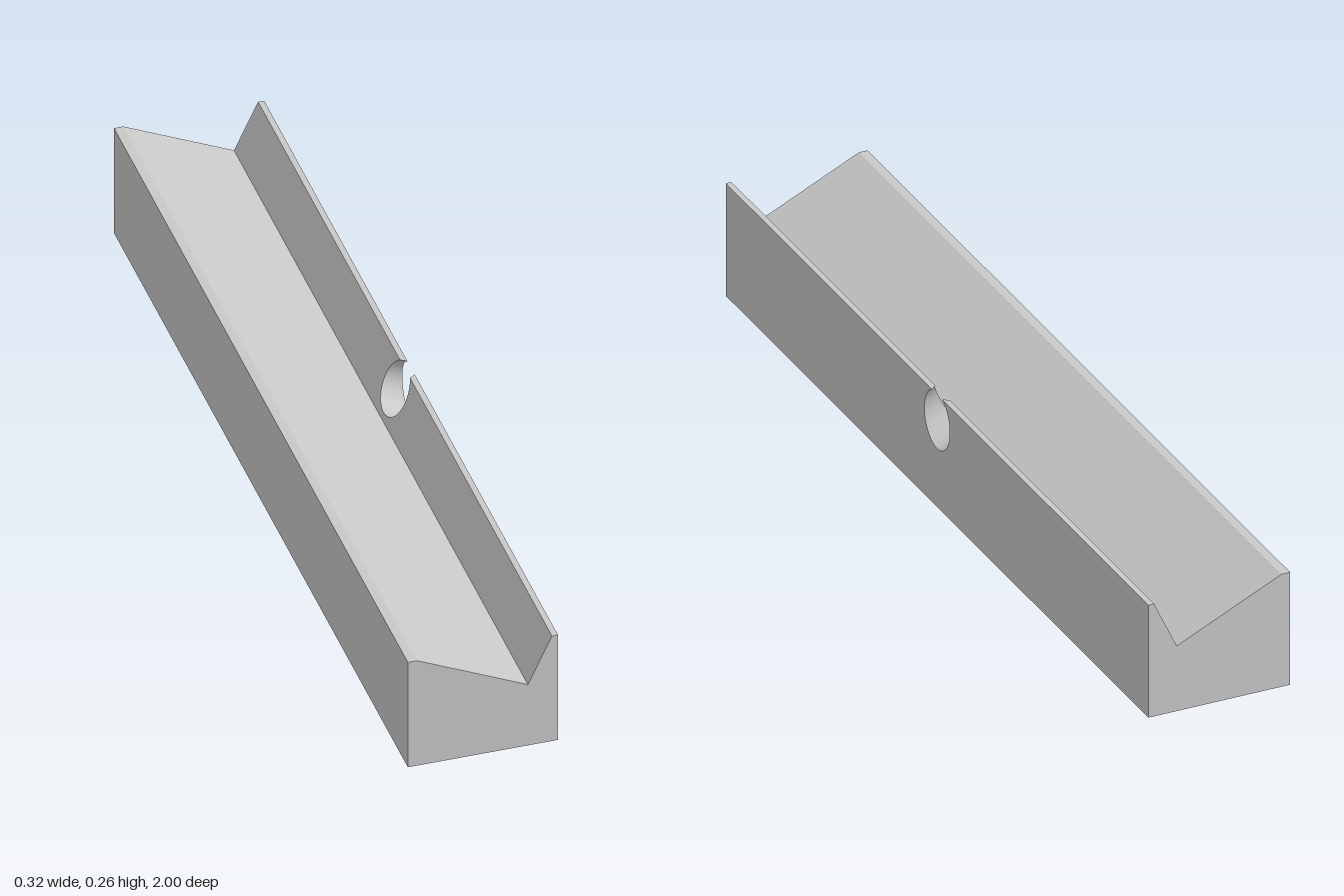
import * as THREE from 'three';

const W = 0.162, H = 0.264, R = 0.06; // half width, height, bore radius
const valley = new THREE.Vector3(0.097, 0.153, 0);
const rim = new THREE.Vector3(0.149, H, 0);
const X = new THREE.Vector3(1, 0, 0), Y = new THREE.Vector3(0, 1, 0), Z = new THREE.Vector3(0, 0, 1);
const backward = Z.clone().negate();

export function createModel() {
  const group = new THREE.Group();
  const grey = new THREE.MeshStandardMaterial({ color: 0xc8c8c8 });
  grey.name = 'plain grey';

  const add = (name, geometry) => {
    const mesh = new THREE.Mesh(geometry, grey);
    mesh.name = name;
    group.add(mesh);
  };

  // Flat face drawn in the (u, v) plane through an origin; it faces u x v
  const face = (name, points, origin, u, v) => {
    const geometry = new THREE.ShapeGeometry(new THREE.Shape(points.map(p => new THREE.Vector2(p[0], p[1]))));
    const n = new THREE.Vector3().crossVectors(u, v);
    geometry.applyMatrix4(new THREE.Matrix4().makeBasis(u, v, n).setPosition(origin));
    add(name, geometry);
  };

  // End caps
  const profile = [[-W, 0], [W, 0], [W, H], [rim.x, H], [valley.x, valley.y], [-0.142, H], [-W, H]];
  face('frontEnd', profile, new THREE.Vector3(0, 0, 1), X, Y);
  face('backEnd', profile.map(([x, y]) => [-x, y]), new THREE.Vector3(0, 0, -1), X.clone().negate(), Y);

  // Plain long sides, each spanning one edge of the profile
  const sides = { base: 0, wideSlope: 4, wideRim: 5, wideWall: 6 };
  for (const [name, i] of Object.entries(sides)) {
    const a = new THREE.Vector3(...profile[i], 0);
    const b = new THREE.Vector3(...profile[(i + 1) % profile.length], 0);
    const v = b.clone().sub(a), length = v.length();
    face(name, [[-1, 0], [1, 0], [1, length], [-1, length]], a, backward, v.normalize());
  }

  // Bore runs square to the steep face and breaks out through the rim
  const up = rim.clone().sub(valley);
  const steepLength = up.length();
  up.normalize();
  const axis = new THREE.Vector3(up.y, -up.x, 0);
  const centre = valley.clone().addScaledVector(up, 0.0729);
  const uIn = rim.clone().sub(centre).dot(up);
  const uOut = new THREE.Vector3(W, H, 0).sub(centre).dot(up);
  const a0 = Math.acos(uOut / R), a1 = Math.acos(uIn / R);

  const stops = [[a0, a1, 6], [a1, 2 * Math.PI - a1, 48], [2 * Math.PI - a1, 2 * Math.PI - a0, 6]];
  const angles = [a0];
  for (const [from, to, n] of stops) {
    for (let i = 1; i <= n; i++) angles.push(from + (to - from) * i / n);
  }
  const starts = [], ends = [], positions = [], normals = [], index = [];
  angles.forEach((a, i) => {
    const p = centre.clone().addScaledVector(up, R * Math.cos(a));
    p.z = -R * Math.sin(a);
    const tRim = (p.y - H) / -axis.y, tWall = (W - p.x) / axis.x;
    const s = p.clone().addScaledVector(axis, Math.max(0, tRim));
    const e = p.clone().addScaledVector(axis, tWall);
    starts.push(s);
    ends.push(e);
    const inward = up.clone().multiplyScalar(-Math.cos(a)).addScaledVector(Z, Math.sin(a));
    positions.push(...s.toArray(), ...e.toArray());
    normals.push(...inward.toArray(), ...inward.toArray());
    if (i > 0) {
      const k = 2 * (i - 1);
      index.push(k, k + 2, k + 1, k + 1, k + 2, k + 3);
    }
  });
  const bore = new THREE.BufferGeometry();
  bore.setAttribute('position', new THREE.Float32BufferAttribute(positions, 3));
  bore.setAttribute('normal', new THREE.Float32BufferAttribute(normals, 3));
  bore.setIndex(index);
  add('bore', bore);

  // Outer wall and steep face, notched where the bore meets them
  face('narrowWall',
    [[-1, 0], [1, 0], [1, H], ...ends.map(p => [-p.z, p.y]), [-1, H]],
    new THREE.Vector3(W, 0, 0), backward, Y);
  const notch = starts.slice(6, -6).reverse();
  face('steepFace',
    [[-1, 0], [1, 0], [1, steepLength], ...notch.map(p => [p.z, p.clone().sub(valley).dot(up)]), [-1, steepLength]],
    valley, Z, up);

  // Narrow rim, split in two by the bore
  const cut = starts.slice(0, 7).map(p => [p.x, Math.abs(p.z)]);
  for (const side of [1, -1]) {
    face(side > 0 ? 'backNarrowRim' : 'frontNarrowRim',
      [...cut, [rim.x, 1], [W, 1]].map(([x, z]) => [x, side * z]),
      new THREE.Vector3(0, H, 0), X, backward);
  }
  return group;
}
